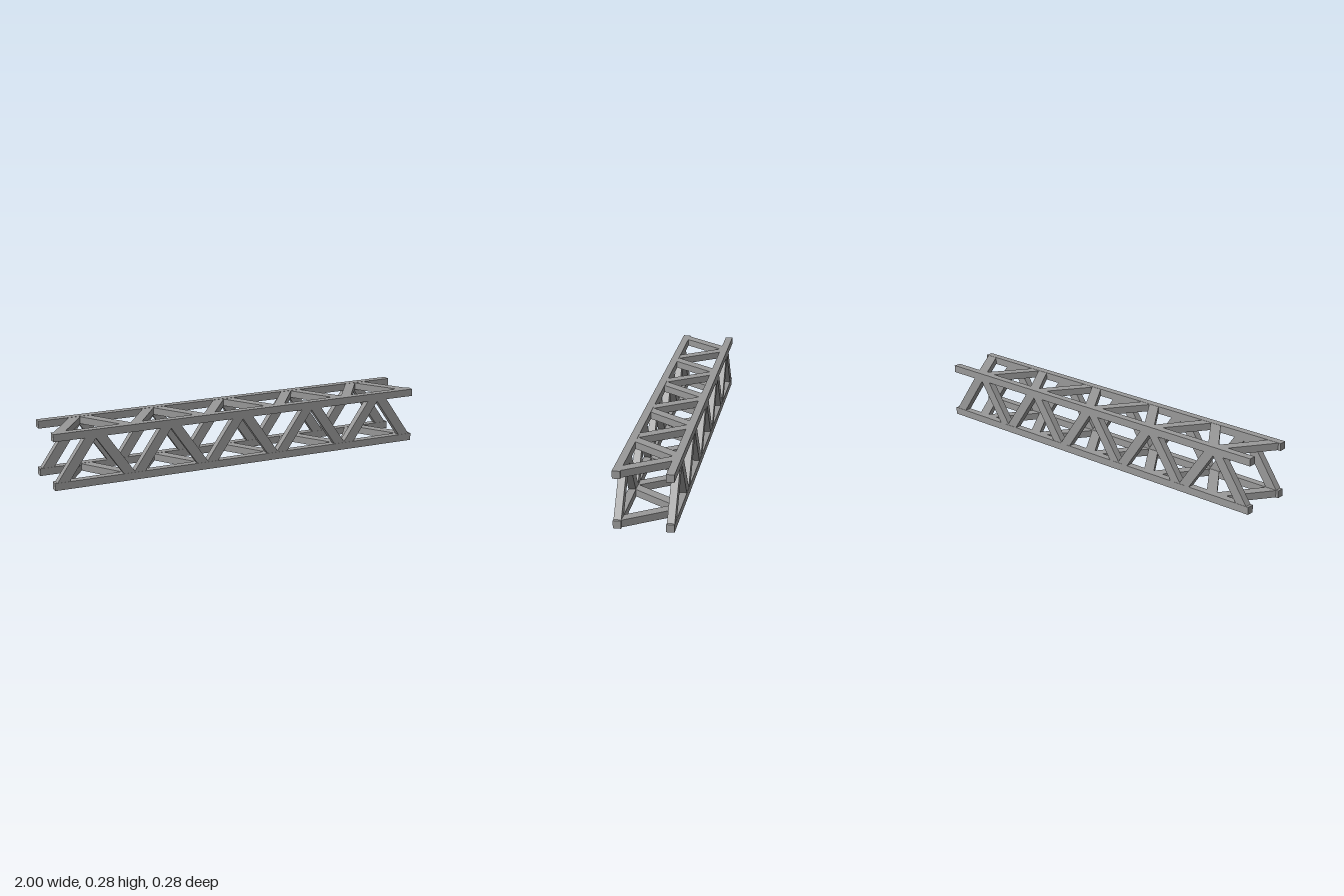
import * as THREE from 'three';

const LENGTH = 2;
const HEIGHT = 0.285;
const CHORD = 0.038;
const BRACES = 10;
const PITCH = 0.1965;
const OFFSET = (HEIGHT - CHORD) / 2;

export function createModel() {
  const truss = new THREE.Group();
  truss.name = 'boxTruss';
  const material = new THREE.MeshStandardMaterial({ color: 0x999999, flatShading: true });

  // Four square chords along the corners
  const chordGeometry = new THREE.BoxGeometry(LENGTH, CHORD, CHORD);
  for (const y of [-1, 1]) {
    for (const z of [-1, 1]) {
      const chord = new THREE.Mesh(chordGeometry, material);
      chord.name = `${y > 0 ? 'upper' : 'lower'}${z > 0 ? 'Front' : 'Back'}Chord`;
      chord.position.set(0, HEIGHT / 2 + y * OFFSET, z * OFFSET);
      truss.add(chord);
    }
  }

  // One zigzag of diagonal braces, drawn in the XY plane
  const braceGeometry = new THREE.BoxGeometry(0.308, 0.05, 0.036);
  const angle = Math.atan2(HEIGHT, PITCH);
  function makeLacing(name) {
    const lacing = new THREE.Group();
    lacing.name = name;
    for (let i = 0; i < BRACES; i++) {
      const brace = new THREE.Mesh(braceGeometry, material);
      brace.name = 'diagonalBrace';
      brace.position.x = (i - (BRACES - 1) / 2) * PITCH;
      brace.rotation.z = i % 2 === 0 ? angle : -angle;
      lacing.add(brace);
    }
    truss.add(lacing);
    return lacing;
  }

  // Vertical lacing on the front and back
  for (const z of [-1, 1]) {
    makeLacing(z > 0 ? 'frontLacing' : 'backLacing').position.set(0, HEIGHT / 2, z * OFFSET);
  }

  // Horizontal lacing on the top and bottom, starting from the front chord
  for (const y of [-1, 1]) {
    const lacing = makeLacing(y > 0 ? 'topLacing' : 'bottomLacing');
    lacing.position.set(0, HEIGHT / 2 + y * OFFSET, 0);
    lacing.rotation.x = -Math.PI / 2;
  }

  return truss;
}
